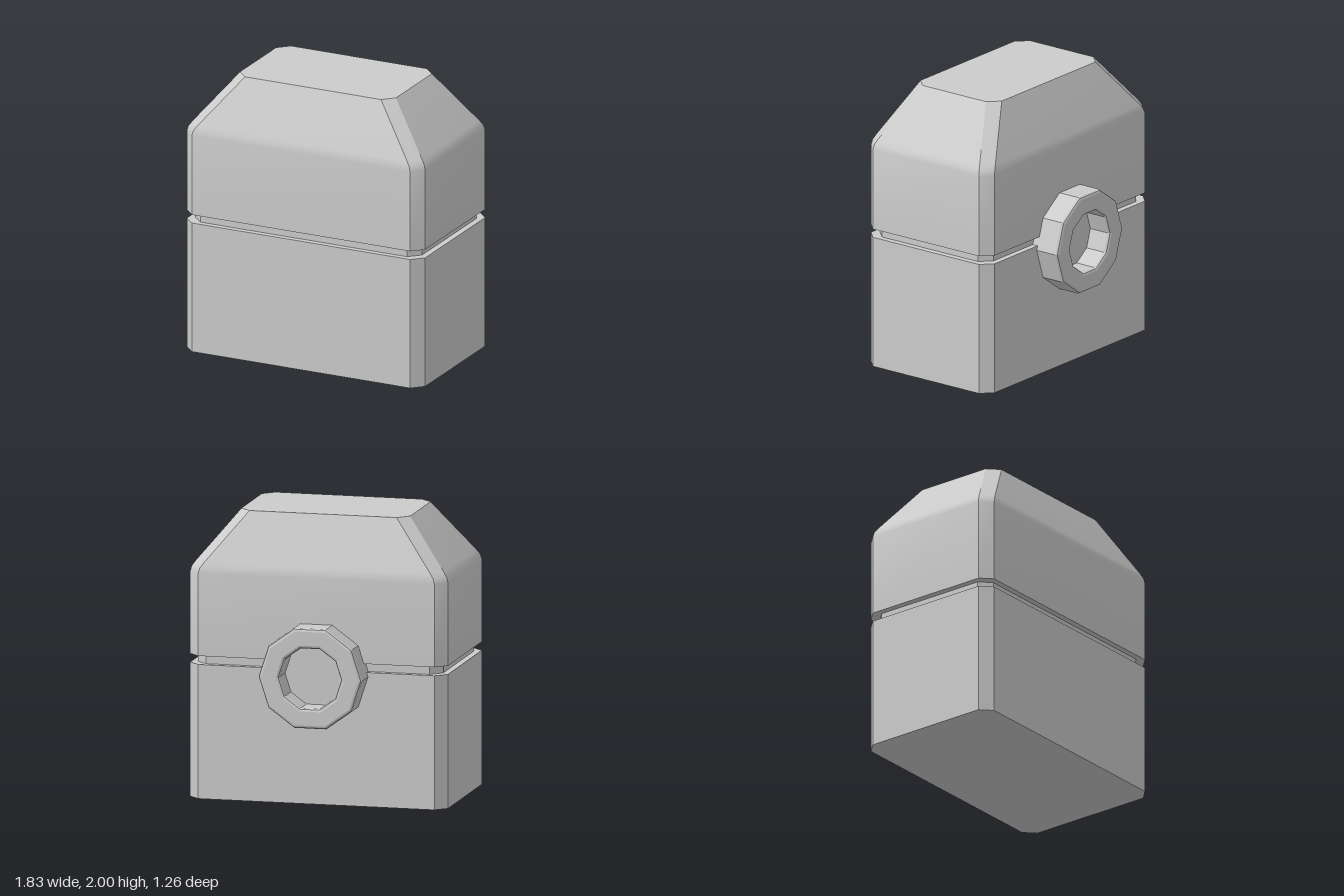
import * as THREE from 'three';
import { toCreasedNormals } from 'three/addons/utils/BufferGeometryUtils.js';

const CENTRE_Z = 0.09;

// Closed loft through chamfered rectangles; each row is [y, halfWidth, halfDepth].
function chamferedLoft(rows, c = 0.077) {
  const pos = [], idx = [], n = 8;
  for (const [y, w, d] of rows) {
    const ring = [
      [w, d - c], [w, c - d], [w - c, -d], [c - w, -d],
      [-w, c - d], [-w, d - c], [c - w, d], [w - c, d],
    ];
    for (const [x, z] of ring) pos.push(x, y, z);
  }
  for (let r = 0; r < rows.length - 1; r++) {
    for (let i = 0; i < n; i++) {
      const a = r * n + i, b = r * n + (i + 1) % n;
      idx.push(a, b, b + n, a, b + n, a + n);
    }
  }
  // Bottom and top caps
  const t = (rows.length - 1) * n;
  for (let i = 1; i < n - 1; i++) idx.push(0, i + 1, i, t, t + i, t + i + 1);
  const g = new THREE.BufferGeometry();
  g.setAttribute('position', new THREE.Float32BufferAttribute(pos, 3));
  g.setIndex(idx);
  return toCreasedNormals(g, Math.PI / 6);
}

export function createModel() {
  const model = new THREE.Group();
  model.name = 'box';
  const smooth = new THREE.MeshStandardMaterial({ color: 0xcccccc });
  const faceted = new THREE.MeshStandardMaterial({ color: 0xcccccc, flatShading: true });

  const add = (name, geometry, material, y, z) => {
    const mesh = new THREE.Mesh(geometry, material);
    mesh.name = name;
    mesh.position.set(0, y, z);
    model.add(mesh);
  };

  // Lower body, recessed seam and tapered lid with a softened shoulder
  add('base', chamferedLoft([[0, 0.917, 0.54], [0.94, 0.917, 0.54]]), smooth, 0, CENTRE_Z);
  add('seam', chamferedLoft([[0.92, 0.872, 0.497], [1.02, 0.872, 0.497]]), smooth, 0, CENTRE_Z);
  add('lid', chamferedLoft([
    [1.0, 0.917, 0.54], [1.58, 0.917, 0.54], [1.615, 0.907, 0.535],
    [1.65, 0.883, 0.521], [2.0, 0.6, 0.355],
  ]), smooth, 0, CENTRE_Z);

  // Ten-sided ring on the back, with bevelled rims and a closed floor
  const profile = [
    [0.368, -0.05], [0.368, 0.16], [0.361, 0.174], [0.346, 0.18],
    [0.242, 0.18], [0.227, 0.174], [0.22, 0.16], [0.22, 0.008], [0, 0.008],
  ].map(([r, h]) => new THREE.Vector2(r, h));
  const ring = new THREE.LatheGeometry(profile, 10, Math.PI / 2);
  ring.rotateX(-Math.PI / 2);
  add('backRing', ring, faceted, 0.91, -0.45);

  return model;
}
